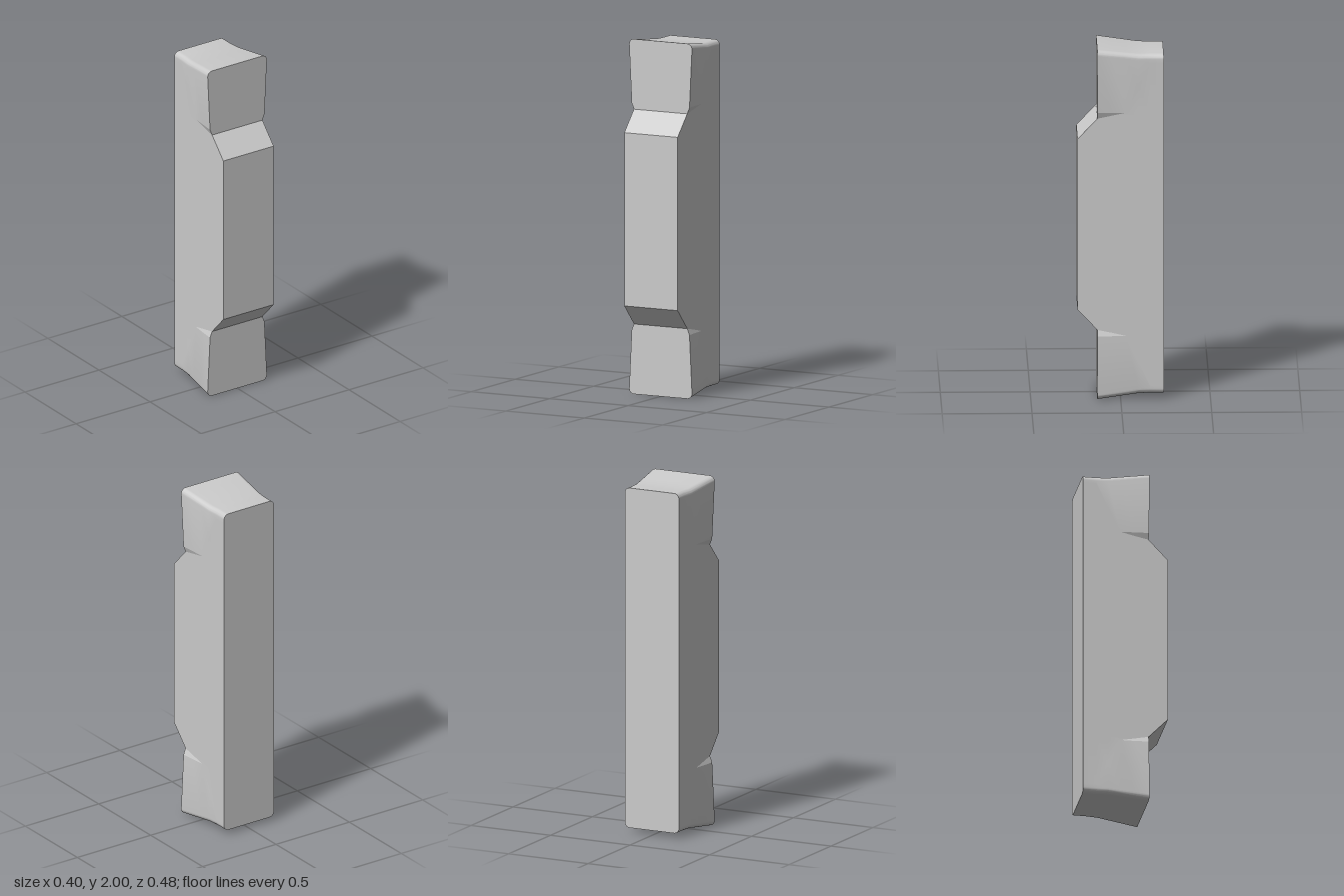
import * as THREE from 'three';
import { toCreasedNormals } from 'three/addons/utils/BufferGeometryUtils.js';

const HALF = 0.17, FRONT = 0.13, BACK = -0.24, NOSE = 0.24, RADIUS = 0.03, ARC = 8;
const ramp = (z, z0, z1, a, b) => THREE.MathUtils.mapLinear(THREE.MathUtils.clamp(z, z0, z1), z0, z1, a, b);

// Upper right quarter of the outline at depth z, from the side up round the corner.
// The ends flare outwards and lengthen towards the front.
function quarter(z) {
  const top = ramp(z, -0.1, FRONT, 1.972, 2);
  const width = ramp(z, -0.165, FRONT, HALF, 0.2);
  const neck = ramp(z, -0.03, FRONT, 1.638, 1.605);
  const crease = z < -0.03 ? ramp(z, -0.165, -0.03, 1.92, 1.64) : 1.64;
  const pts = [[HALF, neck - 0.02], [HALF, neck], [ramp(z, -0.03, FRONT, HALF, 0.184), crease]];
  for (let i = 0; i <= ARC; i++) {
    const a = (i / ARC) * Math.PI / 2;
    pts.push([width - RADIUS + RADIUS * Math.cos(a), top - RADIUS + RADIUS * Math.sin(a)]);
  }
  return pts;
}

// Full counter-clockwise outline, mirrored left to right and top to bottom.
function outline(z) {
  const q = quarter(z);
  const upper = [...q, ...q.map(([x, y]) => [-x, y]).reverse()];
  return [...upper, ...upper.map(([x, y]) => [-x, 2 - y])].map(([x, y]) => [x, y, z]);
}

// Geometry from convex polygons, each split into a fan.
function fromPolygons(polygons) {
  const pos = [];
  for (const p of polygons)
    for (let i = 1; i < p.length - 1; i++) pos.push(...p[0], ...p[i], ...p[i + 1]);
  const geo = new THREE.BufferGeometry();
  geo.setAttribute('position', new THREE.Float32BufferAttribute(pos, 3));
  return toCreasedNormals(geo, 0.25);
}

export function createModel() {
  const group = new THREE.Group();
  const material = new THREE.MeshStandardMaterial({ color: 0xcccccc });
  const add = (name, polygons) => {
    const mesh = new THREE.Mesh(fromPolygons(polygons), material);
    mesh.name = name;
    group.add(mesh);
  };

  // Main bar: outlines joined from back to front
  const rings = [BACK, -0.165, -0.1, -0.03, 0.05, FRONT].map(outline);
  const walls = [];
  for (let i = 0; i < rings.length - 1; i++) {
    const a = rings[i], b = rings[i + 1];
    a.forEach((p, j) => {
      const k = (j + 1) % a.length;
      walls.push([p, a[k], b[k], b[j]]);
    });
  }
  add('bar', walls);
  add('backFace', [[...rings[0]].reverse()]);

  // Front faces of the two flared ends
  const q = quarter(FRONT).slice(1);
  const end = [...q, ...q.map(([x, y]) => [-x, y]).reverse()].map(([x, y]) => [x, y, FRONT]);
  add('upperFrontFace', [end]);
  add('lowerFrontFace', [end.map(([x, y, z]) => [-x, 2 - y, z])]);

  // Raised block with sloped ends along the middle of the front
  const profile = [[0.395, FRONT], [0.512, NOSE], [1.488, NOSE], [1.605, FRONT]];
  const right = profile.map(([y, z]) => [HALF, y, z]);
  const left = profile.map(([y, z]) => [-HALF, y, z]);
  const block = [[...right].reverse(), left];
  // Close the narrow strip between the bar's side and the block
  for (let i = 0; i < 3; i++) block.push([left[i], right[i], right[i + 1], left[i + 1]]);
  add('frontBlock', block);
  return group;
}
